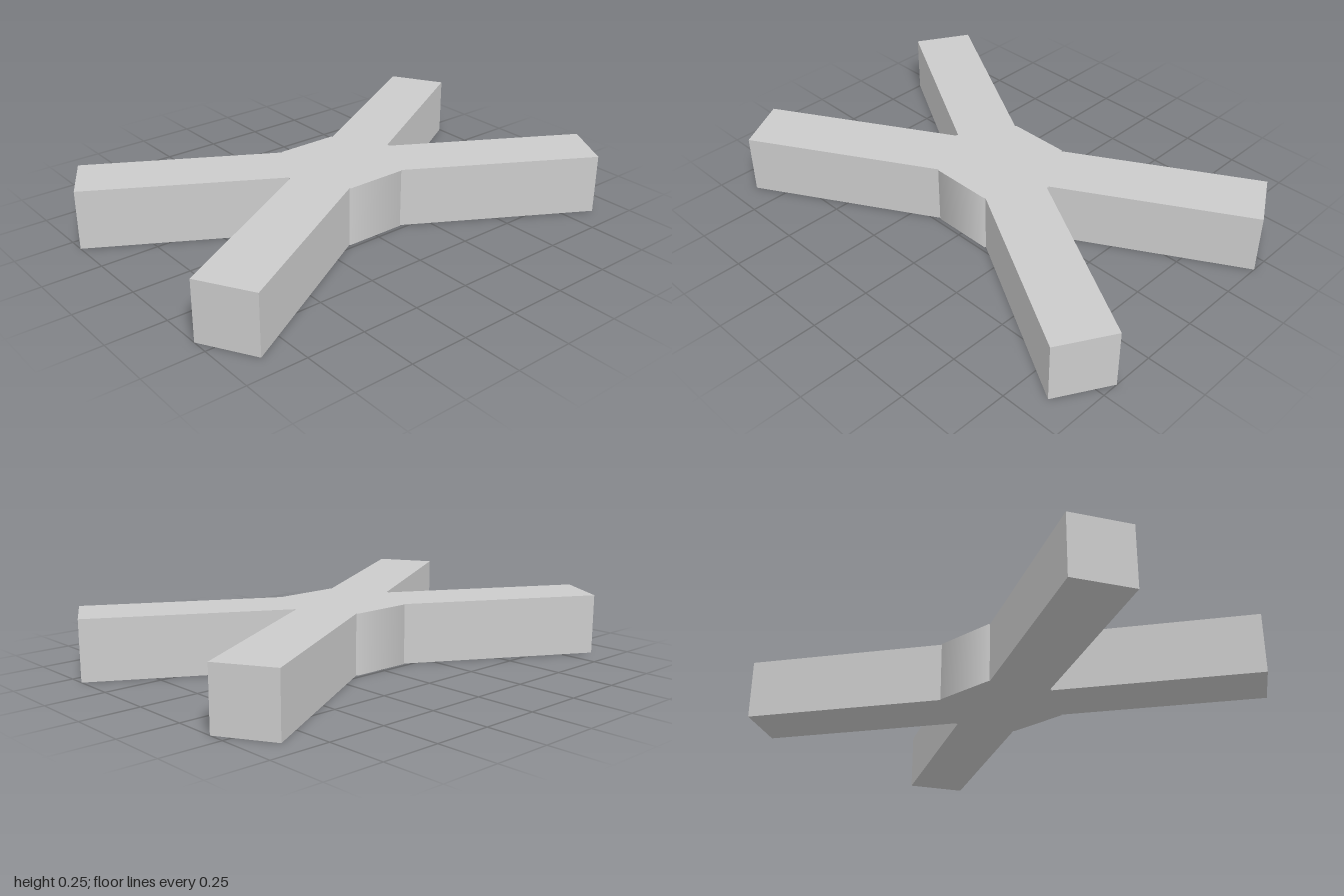
import * as THREE from 'three';

export function createModel() {
  const group = new THREE.Group();
  const material = new THREE.MeshStandardMaterial({ color: 0xcccccc });
  const height = 0.255, hubRadius = 0.267;
  const inner = hubRadius * Math.cos(Math.PI / 6); // flat side of the hub
  const outer = 1.081;

  // Six-sided hub with corners on the x axis
  const hub = new THREE.Mesh(
    new THREE.CylinderGeometry(hubRadius, hubRadius, height, 6, 1, false, Math.PI / 6),
    material
  );
  hub.name = 'hub';
  hub.position.y = height / 2;
  group.add(hub);

  // Four square beams, each meeting one slanted side of the hub
  const beam = new THREE.BoxGeometry(outer - inner, height, height);
  beam.translate((outer + inner) / 2, height / 2, 0);
  const arms = { backLeftArm: 30, backRightArm: 150, frontRightArm: 210, frontLeftArm: 330 };
  for (const [name, degrees] of Object.entries(arms)) {
    const arm = new THREE.Mesh(beam, material);
    arm.name = name;
    arm.rotation.y = THREE.MathUtils.degToRad(degrees);
    group.add(arm);
  }
  return group;
}
